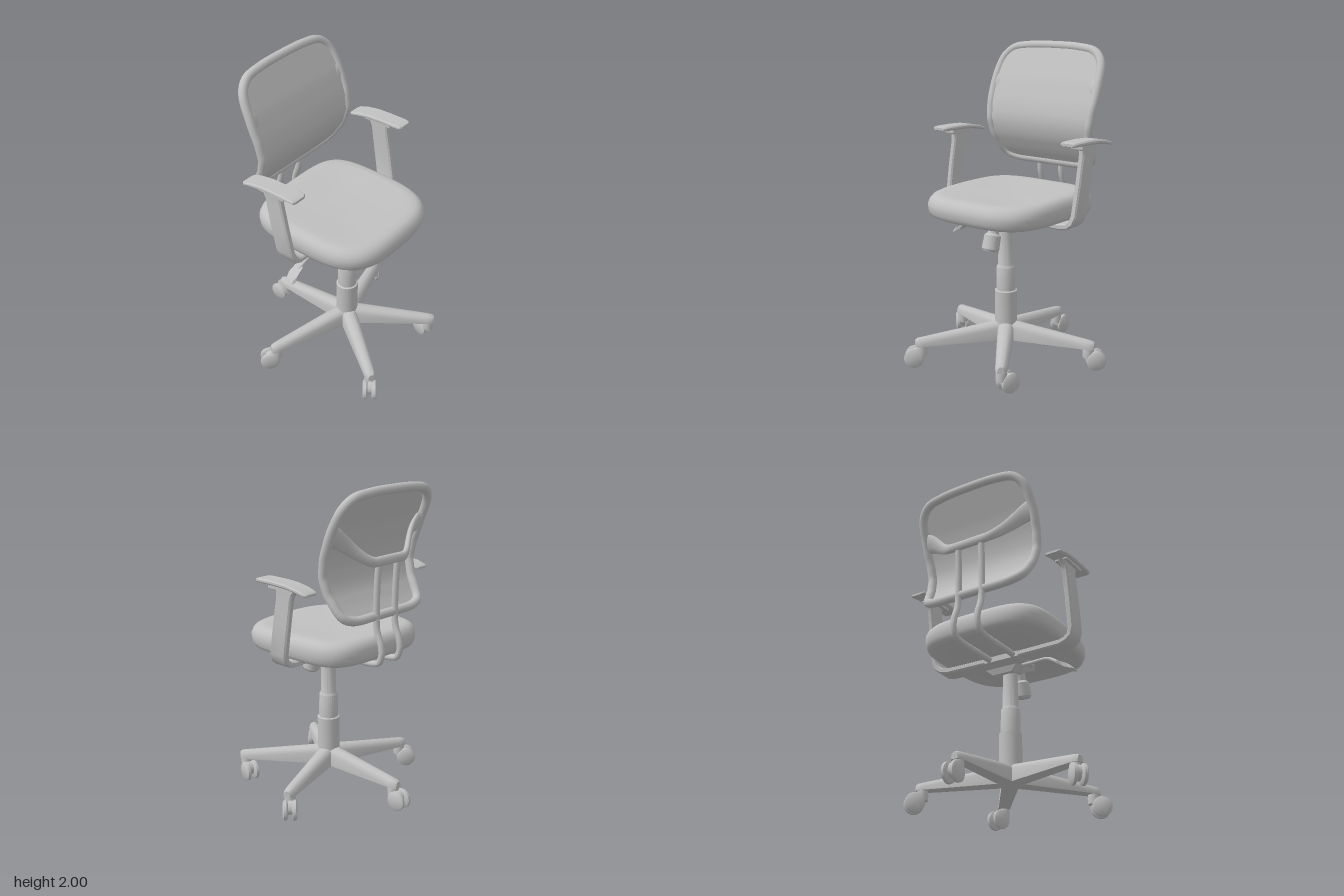
import * as THREE from 'three';
import { toCreasedNormals } from 'three/addons/utils/BufferGeometryUtils.js';

const V = (x, y, z) => new THREE.Vector3(x, y, z);
const grey = new THREE.MeshStandardMaterial({ color: 0xc0c0c0 });
grey.name = 'grey';
const greySheet = grey.clone();
greySheet.name = 'greySheet';
greySheet.side = THREE.DoubleSide;

function add(parent, name, geometry, material = grey) {
  const mesh = new THREE.Mesh(geometry, material);
  mesh.name = name;
  parent.add(mesh);
  return mesh;
}

// Solid skinned over a row of equal-length rings, with closed ends
function loft(rings, crease = 0.6) {
  const n = rings[0].length, pts = rings.flat(), index = [];
  for (let r = 0; r < rings.length - 1; r++)
    for (let i = 0; i < n; i++) {
      const a = r * n + i, b = r * n + (i + 1) % n;
      index.push(a, b, b + n, a, b + n, a + n);
    }
  [0, rings.length - 1].forEach((r, end) => {
    const c = pts.length;
    pts.push(rings[r].reduce((s, p) => s.add(p), V(0, 0, 0)).divideScalar(n));
    for (let i = 0; i < n; i++) {
      const a = r * n + i, b = r * n + (i + 1) % n;
      index.push(c, end ? a : b, end ? b : a);
    }
  });
  // Turn the faces outward
  let volume = 0;
  for (let i = 0; i < index.length; i += 3)
    volume += pts[index[i]].dot(V(0, 0, 0).crossVectors(pts[index[i + 1]], pts[index[i + 2]]));
  if (volume < 0) index.reverse();
  const g = new THREE.BufferGeometry().setFromPoints(pts);
  g.setIndex(index);
  return toCreasedNormals(g, crease);
}

const tube = (points, radius, steps = 48, closed = false) =>
  new THREE.TubeGeometry(new THREE.CatmullRomCurve3(points, closed), steps, radius, 12, closed);

const lathe = (profile, segments = 28) =>
  toCreasedNormals(new THREE.LatheGeometry(profile.map(p => new THREE.Vector2(...p)), segments), 0.6);

// Side curve of the backrest: depth at each height
const BACK = [[1.2, -0.435], [1.25, -0.4], [1.3, -0.362], [1.4, -0.302], [1.5, -0.28],
  [1.6, -0.297], [1.75, -0.352], [1.88, -0.413], [2.0, -0.47]];
function backZ(y) {
  let i = 0;
  while (i < BACK.length - 2 && y > BACK[i + 1][0]) i++;
  const [y0, z0] = BACK[i], [y1, z1] = BACK[i + 1];
  return z0 + (z1 - z0) * (y - y0) / (y1 - y0);
}

function makeCaster(x, z, dx, dz) {
  const caster = new THREE.Group();
  caster.name = 'caster';
  caster.position.set(x, 0, z);
  caster.rotation.y = Math.atan2(dx, dz);
  add(caster, 'casterStem', lathe([[0, 0.08], [0.034, 0.08], [0.036, 0.12], [0.03, 0.155], [0, 0.155]], 16));
  const fork = add(caster, 'casterFork', new THREE.CylinderGeometry(0.045, 0.045, 0.03, 20));
  fork.rotation.z = Math.PI / 2;
  fork.position.set(0, 0.075, 0.035);
  for (const s of [-1, 1]) {
    const wheel = add(caster, 'casterWheel',
      lathe([[0, -0.016], [0.05, -0.016], [0.062, -0.008], [0.062, 0.008], [0.05, 0.016], [0, 0.016]], 20));
    wheel.rotation.z = Math.PI / 2;
    wheel.position.set(s * 0.029, 0.063, 0.048);
  }
  return caster;
}

function makeBase() {
  const base = new THREE.Group();
  base.name = 'base';
  base.position.z = 0.045;
  add(base, 'column', lathe([[0, 0.14], [0.07, 0.14], [0.071, 0.46], [0.061, 0.465], [0.06, 0.615],
    [0.05, 0.63], [0.046, 0.9], [0, 0.9]]));
  // Tapering legs, one pointing straight back
  const section = (r, w, top) => [[-1, 0.14], [-1, top - 0.035], [-0.75, top - 0.01], [-0.3, top],
    [0.3, top], [0.75, top - 0.01], [1, top - 0.035], [1, 0.14]].map(([u, y]) => V(u * w, y, -r));
  const trails = [[0, -1], [-0.7, -0.7], [-0.8, 0.6], [0.3, -1], [0.7, -0.7]];
  trails.forEach(([dx, dz], i) => {
    const a = i * Math.PI * 2 / 5;
    const leg = add(base, 'leg', loft([section(0, 0.05, 0.265), section(0.1, 0.05, 0.25),
      section(0.54, 0.037, 0.193), section(0.575, 0.032, 0.188), section(0.59, 0.022, 0.18)], 0.8));
    leg.rotation.y = a;
    base.add(makeCaster(-Math.sin(a) * 0.55, -Math.cos(a) * 0.55, dx, dz));
  });
  return base;
}

function makeMechanism() {
  const group = new THREE.Group();
  group.name = 'tiltMechanism';
  // Slanted housing, narrower below
  const ring = (w, pts) => pts.map(([z, y, k]) => V(w * k, y, z));
  const side = [[0.2, 0.925, 0.8], [0.17, 0.955, 1], [-0.07, 0.865, 1], [-0.055, 0.83, 0.6], [0.1, 0.87, 0.6]];
  add(group, 'housing', loft([ring(-0.11, side), ring(0.11, side)], 0.3));
  add(group, 'mountPlate', new THREE.BoxGeometry(0.24, 0.04, 0.2)).position.set(0, 0.935, 0.03);
  const knob = add(group, 'tensionKnob', lathe([[0, -0.07], [0.045, -0.07], [0.055, -0.055],
    [0.052, 0.03], [0.035, 0.045], [0.035, 0.09], [0, 0.09]], 20));
  knob.position.set(0, 0.815, 0.183);
  knob.rotation.x = -0.28;
  // Height lever with flat paddle
  add(group, 'heightLever', tube([V(0, 0.895, 0.03), V(-0.16, 0.89, 0.02), V(-0.29, 0.883, 0.005),
    V(-0.34, 0.855, -0.005), V(-0.4, 0.81, -0.02)], 0.011, 30));
  const paddle = (x, y, w, t) => [[-1, -1], [-1, 1], [1, 1], [1, -1]].map(([u, v]) =>
    V(x + v * t * 0.6, y + v * t * 0.8, -0.025 + u * w));
  add(group, 'leverPaddle', loft([paddle(-0.375, 0.825, 0.015, 0.013), paddle(-0.41, 0.8, 0.03, 0.026),
    paddle(-0.46, 0.775, 0.036, 0.026), paddle(-0.482, 0.765, 0.025, 0.014)]));
  return group;
}

// Cushion: rounded-square rings stacked by height
function makeSeat() {
  const levels = [[0.5, 0.95], [0.9, 0.952], [0.965, 0.965], [0.992, 0.99], [1, 1.02], [0.998, 1.05],
    [0.975, 1.075], [0.94, 1.093], [0.89, 1.104], [0.8, 1.105], [0.6, 1.098], [0.3, 1.092]];
  const power = (c, n) => Math.sign(c) * Math.abs(c) ** (2 / n);
  return loft(levels.map(([s, y]) => Array.from({ length: 56 }, (_, i) => {
    const a = i / 56 * Math.PI * 2, n = Math.sin(a) > 0 ? 3.3 : 4.2;
    const z = power(Math.sin(a), n) * s;
    const dip = y > 1.03 ? -0.012 * Math.max(0, z) : 0;
    return V(0.432 * s * power(Math.cos(a), n), y + dip, 0.017 + 0.447 * z);
  })), 1.2);
}

function makeBackrest() {
  const back = new THREE.Group();
  back.name = 'backrest';
  const half = [[0, 1.973], [0.2, 1.967], [0.32, 1.945], [0.38, 1.885], [0.403, 1.75], [0.395, 1.55],
    [0.372, 1.36], [0.34, 1.265], [0.27, 1.237], [0.12, 1.232], [0, 1.232]];
  const mirrored = half.slice(1, -1).reverse().map(([x, y]) => [-x, y]);
  const outline = new THREE.CatmullRomCurve3([...half, ...mirrored].map(([x, y]) => V(x, y, 0)), true);
  const loop = outline.getPoints(72).slice(0, -1).map(p => V(p.x, p.y, backZ(p.y)));
  add(back, 'backFrame', tube(loop, 0.028, 144, true));

  // Stretched panel filling the frame
  const edge = new THREE.CatmullRomCurve3(half.map(([x, y]) => V(x, y, 0))).getPoints(40);
  const panel = new THREE.PlaneGeometry(1, 1, 12, 40), pos = panel.attributes.position;
  for (let i = 0; i < pos.count; i++) {
    const e = edge[Math.floor(i / 13)];
    pos.setXYZ(i, pos.getX(i) * 2 * e.x, e.y, backZ(e.y) + 0.016);
  }
  panel.computeVertexNormals();
  add(back, 'backPanel', panel, greySheet);

  // Swooping brace behind the panel, tallest at its ends
  const rings = [];
  for (let i = 0; i <= 32; i++) {
    const u = i / 16 - 1, k = THREE.MathUtils.smoothstep(Math.abs(u), 0.3, 1);
    const y = 1.565 + 0.165 * k, h = 0.03 + 0.035 * k;
    const z = THREE.MathUtils.lerp(-0.445, backZ(y), k);
    rings.push(Array.from({ length: 12 }, (_, j) => {
      const a = j / 12 * Math.PI * 2;
      return V(u * 0.395, y + h * Math.sin(a), z + 0.022 * Math.cos(a) - 0.3 * h * Math.sin(a) * k);
    }));
  }
  add(back, 'backBrace', loft(rings, 1.2));

  // Twin support tubes running from under the seat
  for (const s of [-1, 1])
    add(back, 'supportTube', tube([[0.935, 0.1], [0.935, -0.15], [0.935, -0.39], [0.95, -0.445], [1.0, -0.466],
      [1.06, -0.46], [1.15, -0.428], [1.25, -0.422], [1.4, -0.425], [1.56, -0.435]]
      .map(([y, z]) => V(s * 0.085, y, z)), 0.02, 64));
  return back;
}

function makeArm(s) {
  const arm = new THREE.Group();
  arm.name = s > 0 ? 'leftArm' : 'rightArm';
  // Flat strap: x, y, z, width, and thickness direction
  const strap = [[0, 0.935, -0.015, 0.1, 0, 1], [0.41, 0.935, -0.015, 0.12, 0, 1], [0.455, 0.945, -0.017, 0.13, -0.4, 0.9],
    [0.485, 0.968, -0.02, 0.13, -0.75, 0.66], [0.5, 1.01, -0.028, 0.13, -1, 0.1], [0.505, 1.2, -0.062, 0.128, -1, 0],
    [0.505, 1.36, -0.09, 0.122, -1, 0], [0.505, 1.4, -0.1, 0.14, -1, 0], [0.505, 1.43, -0.11, 0.2, -1, 0]];
  add(arm, 'armStrap', loft(strap.map(([x, y, z, w, nx, ny]) =>
    [[-0.5, -0.6], [-0.42, -1], [0.42, -1], [0.5, -0.6], [0.5, 0.6], [0.42, 1], [-0.42, 1], [-0.5, 0.6]]
      .map(([u, v]) => V(s * (x + nx * v * 0.02), y + ny * v * 0.018, z + u * w)))));
  // Pad with rounded corners, drooping toward the back
  const pad = [[0.105, 0.04, 1.45, 0.008], [0.095, 0.054, 1.45, 0.012], [0.06, 0.057, 1.451, 0.013],
    [-0.05, 0.057, 1.45, 0.014], [-0.15, 0.057, 1.445, 0.014], [-0.23, 0.057, 1.432, 0.013],
    [-0.285, 0.055, 1.418, 0.01], [-0.3, 0.042, 1.414, 0.007]];
  add(arm, 'armPad', loft(pad.map(([z, w, y, t]) =>
    [[-1, -0.4], [-0.85, -1], [0.85, -1], [1, -0.4], [1, 0.4], [0.85, 1], [-0.85, 1], [-1, 0.4]]
      .map(([u, v]) => V(s * 0.503 + u * w, y + v * t, z)))));
  add(arm, 'padBracket', new THREE.BoxGeometry(0.08, 0.025, 0.2)).position.set(s * 0.503, 1.428, -0.09);
  return arm;
}

export function createModel() {
  const chair = new THREE.Group();
  chair.name = 'officeChair';
  chair.add(makeBase(), makeMechanism(), makeBackrest(), makeArm(1), makeArm(-1));
  add(chair, 'seatCushion', makeSeat());
  return chair;
}
